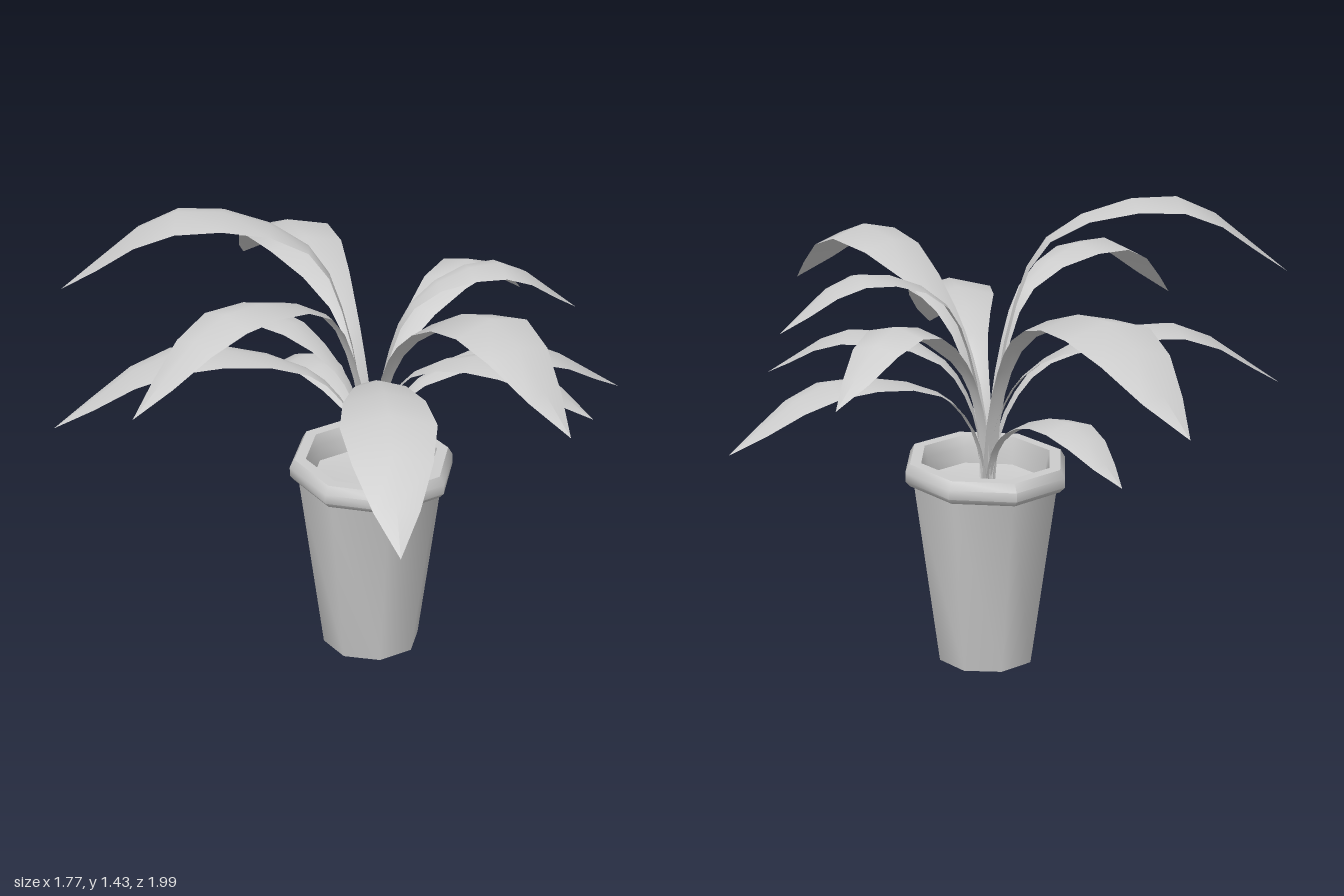
import * as THREE from 'three';
import { toCreasedNormals } from 'three/addons/utils/BufferGeometryUtils.js';

const potMaterial = new THREE.MeshStandardMaterial({ color: 0xcccccc });
const leafMaterial = new THREE.MeshStandardMaterial({ color: 0xcccccc, side: THREE.DoubleSide });

// Eight-sided turned shape that grows deeper along z towards the top
function turned(name, profile) {
  const geo = new THREE.LatheGeometry(profile.map(([r, y]) => new THREE.Vector2(r, y)), 8);
  const p = geo.attributes.position;
  for (let i = 0; i < p.count; i++) {
    p.setZ(i, p.getZ(i) * (1 + 0.15 * Math.min(1, p.getY(i) / 0.57)));
  }
  const mesh = new THREE.Mesh(toCreasedNormals(geo, 0.95), potMaterial);
  mesh.name = name;
  mesh.position.set(0.07, 0, -0.015);
  return mesh;
}

// Half width of a leaf along its length: narrow stalk, broad blade, pointed tip
function widthAt(u) {
  const { smoothstep, lerp } = THREE.MathUtils;
  if (u < 0.62) return lerp(0.17, 1, smoothstep(u, 0.05, 0.62));
  return 1 - Math.pow((Math.min(u, 1) - 0.62) / 0.38, 1.6);
}

// Arching leaf with a roof-shaped section, through a shoulder and a crown height
function leaf([x, y, z, width, shoulder, crown]) {
  const root = new THREE.Vector3(0.065, 0.54, -0.015);
  const tip = new THREE.Vector3(x, y, z);
  const side = new THREE.Vector3(z - root.z, 0, root.x - x).normalize();
  const arch = new THREE.CatmullRomCurve3([
    new THREE.Vector3(0, root.y, 0),
    new THREE.Vector3(0.06, THREE.MathUtils.lerp(root.y, shoulder, 0.6), 0),
    new THREE.Vector3(0.2, shoulder, 0),
    new THREE.Vector3(0.62, crown, 0),
    new THREE.Vector3(1, y, 0),
  ]);
  const positions = [], index = [];
  arch.getPoints(12).forEach((station, row) => {
    const half = widthAt(station.x) * width / 2;
    const center = root.clone().lerp(tip, station.x).setY(station.y);
    for (const s of [-1, 0, 1]) {
      const v = center.clone().addScaledVector(side, s * half);
      positions.push(v.x, v.y - Math.abs(s) * half * 0.25, v.z);
    }
    if (row === 0) return;
    for (let k = 0; k < 2; k++) {
      const a = (row - 1) * 3 + k, b = a + 3;
      index.push(a, b, a + 1, a + 1, b, b + 1);
    }
  });
  const geo = new THREE.BufferGeometry();
  geo.setAttribute('position', new THREE.Float32BufferAttribute(positions, 3));
  geo.setIndex(index);
  geo.computeVertexNormals();
  const mesh = new THREE.Mesh(geo, leafMaterial);
  mesh.name = 'leaf';
  return mesh;
}

// Each leaf: tip x, y, z, width, shoulder height, crown height
const LEAVES = [
  [-0.18, 0.96, -1, 0.28, 1.07, 1.2],
  [0.65, 0.97, -0.48, 0.19, 0.98, 1.15],
  [0.88, 0.76, -0.12, 0.2, 0.87, 0.94],
  [0.66, 0.87, 0.34, 0.19, 0.94, 1.02],
  [0.45, 1.05, 0.82, 0.25, 1.08, 1.28],
  [0.7, 1.08, -0.02, 0.17, 1.13, 1.24],
  [-0.84, 1.19, -0.17, 0.24, 1.32, 1.43],
  [-0.89, 0.8, -0.04, 0.21, 0.94, 1.02],
  [-0.69, 1.01, 0.4, 0.2, 1.15, 1.24],
  [-0.37, 0.9, -0.37, 0.14, 0.91, 1.04],
  [-0.05, 0.82, 0.99, 0.27, 0.98, 1.06],
  [-0.15, 0.7, -0.59, 0.17, 0.76, 0.84],
];

export function createModel() {
  const model = new THREE.Group();
  model.name = 'pottedPlant';

  // Tapered pot with a recessed foot and a rolled rim
  model.add(turned('pot', [
    [0, 0.04], [0.12, 0.04], [0.135, 0], [0.152, 0], [0.228, 0.575],
    [0.24, 0.575], [0.255, 0.592], [0.255, 0.62], [0.24, 0.645],
    [0.205, 0.645], [0.195, 0.61], [0.19, 0.55],
  ]));
  model.add(turned('soil', [[0.192, 0.56], [0.14, 0.55], [0, 0.55]]));

  // Leaves fanning out from one root
  const foliage = new THREE.Group();
  foliage.name = 'foliage';
  foliage.add(...LEAVES.map(leaf));
  model.add(foliage);
  return model;
}
